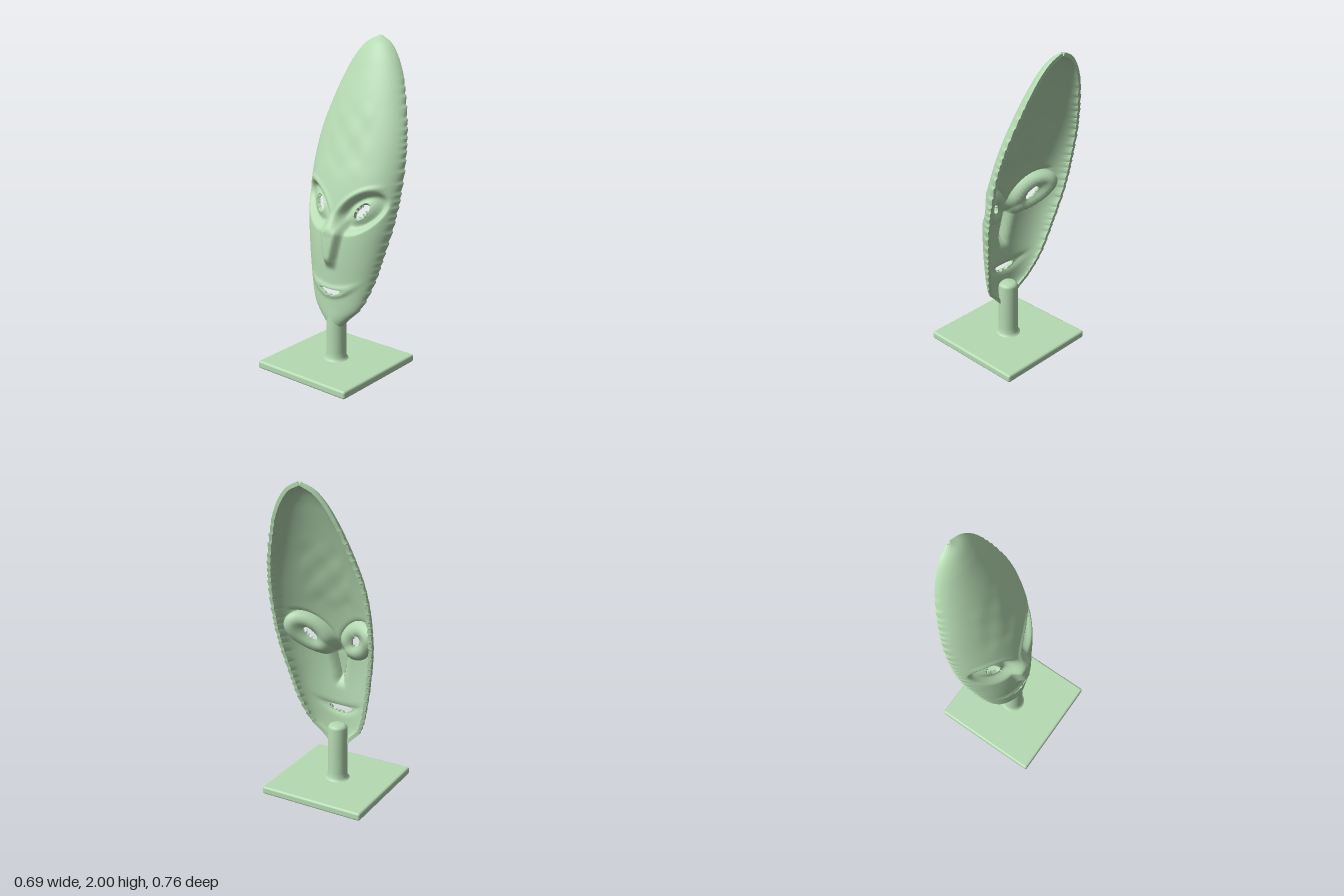
import * as THREE from 'three';
import { mergeGeometries } from 'three/addons/utils/BufferGeometryUtils.js';
import { RoundedBoxGeometry } from 'three/addons/geometries/RoundedBoxGeometry.js';

const { smoothstep } = THREE.MathUtils;
const COLS = 84, ROWS = 190, THICK = 0.022;

// Mask sections: [y, half width, rim z, centre-line z]
const SECTIONS = [
  [0.27, 0.05, 0.05, 0.09], [0.33, 0.105, 0.045, 0.1], [0.4, 0.17, 0.025, 0.1], [0.5, 0.215, -0.01, 0.1],
  [0.6, 0.245, -0.04, 0.1], [0.7, 0.268, -0.062, 0.1], [0.8, 0.288, -0.085, 0.096], [0.9, 0.308, -0.107, 0.086],
  [1.0, 0.322, -0.13, 0.07], [1.1, 0.33, -0.152, 0.045], [1.2, 0.332, -0.173, 0.015], [1.3, 0.329, -0.195, -0.022],
  [1.4, 0.319, -0.22, -0.058], [1.5, 0.3, -0.247, -0.094], [1.6, 0.272, -0.275, -0.132], [1.7, 0.24, -0.303, -0.173],
  [1.8, 0.2, -0.33, -0.218], [1.89, 0.15, -0.35, -0.262], [1.96, 0.088, -0.366, -0.308], [2.0, 0.012, -0.376, -0.362],
];
const edgeCurve = new THREE.CatmullRomCurve3(
  SECTIONS.map(([y, w, rim]) => new THREE.Vector3(w, y, rim)), false, 'catmullrom');
const ridgeCurve = new THREE.CatmullRomCurve3(
  SECTIONS.map(([y, , , front]) => new THREE.Vector3(0, y, front)), false, 'catmullrom');

// A tilted, optionally bent ellipse with conversion to and from its unit circle
function ellipse(cx, cy, a, b, angle = 0, bend = 0) {
  const c = Math.cos(angle), s = Math.sin(angle);
  return {
    local(x, y) {
      const dx = x - cx, dy = y - cy, X = (dx * c + dy * s) / a;
      return [X, (-dx * s + dy * c - bend * X * X) / b];
    },
    level(x, y) { return Math.hypot(...this.local(x, y)); },
    snap(x, y) {
      const [X, Y] = this.local(x, y), r = Math.hypot(X, Y) || 1;
      const px = X / r * a, py = Y / r * b + bend * (X / r) ** 2;
      return [cx + px * c - py * s, cy + px * s + py * c];
    },
  };
}
const mouth = ellipse(-0.005, 0.503, 0.084, 0.019, 0, 0.014);
const holes = [mouth, ellipse(0.16, 1.01, 0.059, 0.034, 0.98), ellipse(-0.16, 1.01, 0.059, 0.034, Math.PI - 0.98)];
const socket = ellipse(0.165, 1.005, 0.175, 0.105, 0.72);

// Height of the face details above the smooth mask
function relief(x, y) {
  const ax = Math.abs(x);
  const spread = Math.max(0, y - 0.72) * 0.2;
  const nose = 0.046 * smoothstep(y, 0.64, 0.73) * (1 - smoothstep(y, 0.87, 1.0))
    * (1 - smoothstep(ax, 0.016 + spread, 0.052 + spread));
  const r = socket.level(ax, y);
  const eye = -0.05 * (1 - smoothstep(r, 0.62, 1)) + 0.018 * (1 - smoothstep(r, 0.2, 0.65));
  const brow = 0.008 * Math.exp(-(((r - 1.08) / 0.1) ** 2)) * smoothstep(y - 1.1 * ax, 0.82, 0.9);
  const lips = 0.01 * Math.exp(-(((mouth.level(x, y) - 1.3) / 0.7) ** 2));
  const dents = 0.003 * Math.sin(x * 31 + y * 9) * Math.sin(y * 27)
    * smoothstep(y, 1.15, 1.3) * (1 - smoothstep(y, 1.5, 1.7)) * (1 - smoothstep(ax, 0.1, 0.2));
  return nose + eye + brow + lips + dents;
}

// Notched outline along both sides
function notch(y, side) {
  const p = y / 0.052 + (side < 0 ? 0.4 : 0) + 0.3 * Math.sin(y * 17 + side);
  return 0.011 * (p - Math.floor(p) - 0.5) * smoothstep(y, 0.33, 0.45) * (1 - smoothstep(y, 1.65, 1.85));
}

function indexed(positions, index) {
  const g = new THREE.BufferGeometry();
  g.setAttribute('position', new THREE.Float32BufferAttribute(positions, 3));
  g.setIndex(index);
  g.computeVertexNormals();
  return g;
}

function maskGeometry() {
  const pts = [];
  const id = (i, j) => j * (COLS + 1) + i;
  for (let j = 0; j <= ROWS; j++) {
    const e = edgeCurve.getPoint(j / ROWS), front = ridgeCurve.getPoint(j / ROWS).z;
    for (let i = 0; i <= COLS; i++) {
      const a = (i / COLS - 0.5) * Math.PI, u = Math.sin(a);
      const x = u * (e.x + notch(e.y, Math.sign(u)) * Math.abs(u) ** 30);
      const z = e.z + (front - e.z) * Math.max(0, Math.cos(a)) ** 1.1;
      pts.push(new THREE.Vector3(x, e.y, z + relief(x, e.y) * smoothstep(Math.cos(a), 0, 0.45)));
    }
  }

  // Open the cells inside the eyes and mouth
  const cut = new Map();
  const cell = (i, j) => j * COLS + i;
  for (let j = 0; j < ROWS; j++) for (let i = 0; i < COLS; i++) {
    const m = pts[id(i, j)].clone().add(pts[id(i + 1, j + 1)]).multiplyScalar(0.5);
    const hole = holes.find(h => h.level(m.x, m.y) < 1);
    if (hole) cut.set(cell(i, j), hole);
  }
  const kept = (i, j) => i >= 0 && j >= 0 && i < COLS && j < ROWS && !cut.has(cell(i, j));

  // Snap the corners bordering each opening onto its outline
  for (let j = 1; j < ROWS; j++) for (let i = 1; i < COLS; i++) {
    const around = [[i, j], [i - 1, j], [i, j - 1], [i - 1, j - 1]];
    const open = around.filter(c => !kept(...c));
    if (open.length === 0 || open.length === 4) continue;
    const p = pts[id(i, j)];
    [p.x, p.y] = cut.get(cell(...open[0])).snap(p.x, p.y);
  }

  const front = [], back = [], borders = [];
  for (let j = 0; j < ROWS; j++) for (let i = 0; i < COLS; i++) {
    if (!kept(i, j)) continue;
    const a = id(i, j), b = id(i + 1, j), c = id(i + 1, j + 1), d = id(i, j + 1);
    front.push(a, b, c, a, c, d);
    back.push(a, c, b, a, d, c);
    if (!kept(i, j - 1)) borders.push([a, b]);
    if (!kept(i + 1, j)) borders.push([b, c]);
    if (!kept(i, j + 1)) borders.push([c, d]);
    if (!kept(i - 1, j)) borders.push([d, a]);
  }

  // Inner skin, offset along the normals
  const outer = indexed(pts.flatMap(p => p.toArray()), front);
  const n = new THREE.Vector3();
  const inner = pts.map((p, k) => {
    n.fromBufferAttribute(outer.attributes.normal, k);
    const q = p.clone().addScaledVector(n, -THICK);
    q.x = Math.sign(p.x) * Math.max(0, Math.sign(p.x) * q.x);
    return q;
  });

  // Walls joining both skins at the rim and the openings
  const wall = [], wallIndex = [];
  for (const [a, b] of borders) {
    const k = wall.length / 3;
    for (const p of [pts[a], pts[b], inner[a], inner[b]]) wall.push(p.x, p.y, p.z);
    wallIndex.push(k, k + 2, k + 1, k + 1, k + 2, k + 3);
  }
  return mergeGeometries([outer, indexed(inner.flatMap(p => p.toArray()), back), indexed(wall, wallIndex)]);
}

export function createModel() {
  const model = new THREE.Group();
  const material = new THREE.MeshStandardMaterial({ color: 0xb5dab2, side: THREE.DoubleSide });
  const add = (name, geometry, x = 0, y = 0, z = 0) => {
    const mesh = new THREE.Mesh(geometry, material);
    mesh.name = name;
    mesh.position.set(x, y, z);
    model.add(mesh);
  };

  add('mask', maskGeometry());

  // Post with a flared foot and a rounded top
  const profile = [[0.085, 0.045], [0.072, 0.053], [0.064, 0.068], [0.062, 0.1], [0.062, 0.24],
    [0.061, 0.395], [0.055, 0.41], [0.04, 0.418], [0, 0.42]].map(p => new THREE.Vector2(...p));
  add('post', new THREE.LatheGeometry(profile, 40), -0.004, 0, 0.04);

  add('base', new RoundedBoxGeometry(0.685, 0.05, 0.69, 4, 0.014), -0.002, 0.025, 0.04);
  return model;
}
